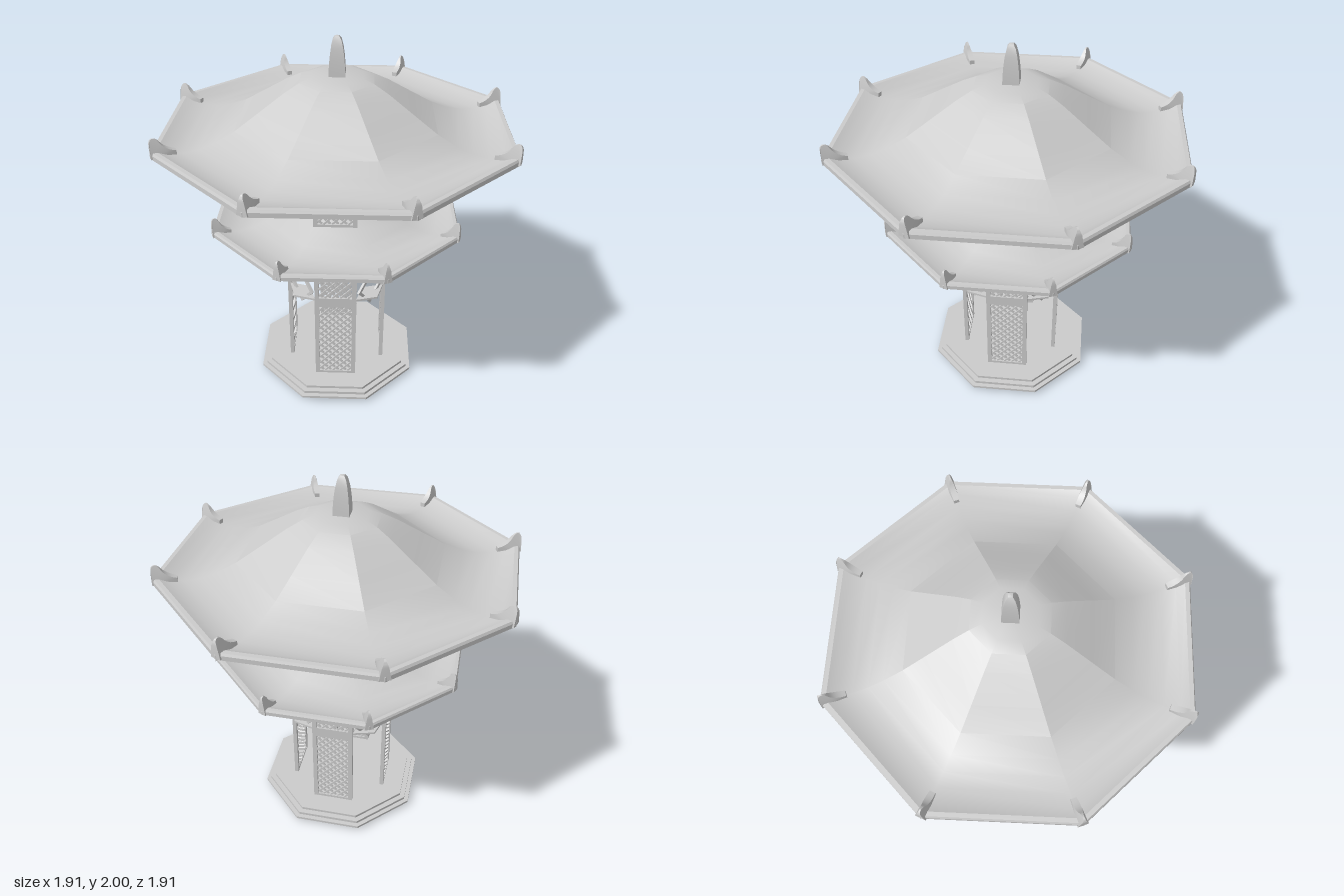
import * as THREE from 'three';
import { mergeGeometries, toCreasedNormals } from 'three/addons/utils/BufferGeometryUtils.js';

const material = new THREE.MeshStandardMaterial({ color: 0xcccccc });
const SIDE = 0.23;                                   // width of one side of the octagonal tower
const APOTHEM = 0.277;

function add(parent, name, geometry) {
  const mesh = new THREE.Mesh(geometry, material);
  mesh.name = name;
  parent.add(mesh);
  return mesh;
}

// Turned solid with few sides; the profile runs from the bottom up
function turned(profile, sides, crease = 0.35, start = 0) {
  const points = profile.map(([r, y]) => new THREE.Vector2(r, y));
  return toCreasedNormals(new THREE.LatheGeometry(points, sides, start), crease);
}

function bar(w, h, d, x, y, z = 0, angle = 0) {
  return new THREE.BoxGeometry(w, h, d).rotateZ(angle).translate(x, y, z);
}

// Crossing diagonal slats clipped to a rectangle
function lattice(halfW, y0, y1) {
  const bars = [];
  const pitch = 0.043;
  for (const s of [1, -1]) {
    for (let c = y0 - halfW + pitch / 2; c < y1 + halfW; c += pitch) {
      // slat follows y = c + s * x
      const a = s > 0 ? y0 - c : c - y1;
      const b = s > 0 ? y1 - c : c - y0;
      const xa = Math.max(-halfW, a), xb = Math.min(halfW, b);
      if (xb - xa < 0.008) continue;
      const mid = (xa + xb) / 2;
      bars.push(bar((xb - xa) * Math.SQRT2, 0.01, 0.008, mid, c + s * mid, s * 0.002, s * Math.PI / 4));
    }
  }
  return bars;
}

function screenGeometry() {
  const stile = 0.024, top = 1.63;
  const inner = SIDE / 2 - stile;
  const parts = [];
  for (const s of [-1, 1]) {
    parts.push(bar(stile, top - 0.06, 0.022, s * (SIDE - stile) / 2, (top + 0.06) / 2));
  }
  const rails = [[0.06, 0.08], [0.55, 0.61], [1.02, 1.09], [1.6, top]];
  rails.forEach(([a, b], i) => {
    parts.push(bar(inner * 2, b - a, 0.02, 0, (a + b) / 2));
    if (rails[i + 1]) parts.push(...lattice(inner, b, rails[i + 1][0]));
  });
  return mergeGeometries(parts);
}

function diamondPath(Type, w, h) {
  const p = new Type();
  p.moveTo(w, 0);
  p.lineTo(0, h);
  p.lineTo(-w, 0);
  p.lineTo(0, -h);
  p.closePath();
  return p;
}

function diamond(w, h, depth, rim) {
  const shape = diamondPath(THREE.Shape, w, h);
  if (rim) shape.holes.push(diamondPath(THREE.Path, w - rim, h - rim));
  return new THREE.ExtrudeGeometry(shape, { depth, bevelEnabled: false }).translate(0, 0, -depth / 2);
}

// Upturned eave tip: swept side profile, pinched towards its top and inner end
function hornGeometry(length, height, width) {
  const s = new THREE.Shape();
  s.moveTo(0, -0.03);
  s.lineTo(0, height * 0.5);
  s.quadraticCurveTo(-length * 0.02, height, -length * 0.16, height);
  s.quadraticCurveTo(-length * 0.3, height, -length * 0.42, height * 0.6);
  s.quadraticCurveTo(-length * 0.6, height * 0.12, -length, -0.005);
  s.lineTo(-length, -0.03);
  s.closePath();
  const g = new THREE.ExtrudeGeometry(s, { depth: width, bevelEnabled: false, curveSegments: 6 });
  g.translate(0, 0, -width / 2);
  const p = g.attributes.position;
  for (let i = 0; i < p.count; i++) {
    const up = Math.max(0, p.getY(i)) / height;
    const inward = -p.getX(i) / length;
    p.setZ(i, p.getZ(i) * (1 - 0.85 * up) * (1 - 0.5 * inward));
  }
  g.computeVertexNormals();
  return toCreasedNormals(g, 0.7).rotateY(-Math.PI / 2); // outer end towards +z
}

function addRoof(parent, name, profile, radius, rimY, horn) {
  const roof = new THREE.Group();
  roof.name = name;
  add(roof, name + 'Shell', turned(profile, 8));
  const geometry = hornGeometry(...horn);
  for (let i = 0; i < 8; i++) {
    const holder = new THREE.Group();
    holder.name = 'eaveHorn';
    holder.rotation.y = i * Math.PI / 4;
    add(holder, 'horn', geometry).position.set(0, rimY, radius - 0.002);
    roof.add(holder);
  }
  parent.add(roof);
}

export function createModel() {
  const model = new THREE.Group();
  model.name = 'pavilion';
  const tower = new THREE.Group();
  tower.name = 'tower';
  tower.rotation.y = THREE.MathUtils.degToRad(-1.2);
  model.add(tower);

  // Stepped octagonal base
  add(tower, 'base', turned([
    [0, 0.02], [0.475, 0.02], [0.475, 0.034], [0.45, 0.034], [0.45, 0.05],
    [0.42, 0.05], [0.42, 0.065], [0, 0.065],
  ], 8));

  // Four lattice screens alternate with four open sides
  const screen = screenGeometry();
  const frame = diamond(0.092, 0.105, 0.014, 0.022);
  const plate = diamond(0.105, 0.06, 0.012, 0).rotateX(-Math.PI / 2);
  const pin = new THREE.CylinderGeometry(0.006, 0.006, 0.03, 8);
  for (let i = 0; i < 4; i++) {
    const side = new THREE.Group();
    side.name = 'screenSide';
    side.rotation.y = Math.PI / 8 + i * Math.PI / 2;
    add(side, 'latticeScreen', screen).position.z = APOTHEM - 0.011;
    add(side, 'footPin', pin).position.set(0, 0.015, 0.25);
    tower.add(side);

    const opening = new THREE.Group();
    opening.name = 'openSide';
    opening.rotation.y = -Math.PI / 8 + i * Math.PI / 2;
    for (const y of [0.63, 1.225]) {
      add(opening, 'diamondFrame', frame).position.set(0, y, APOTHEM - 0.011);
    }
    add(opening, 'diamondShelf', plate).position.set(0, 0.59, APOTHEM - 0.011);
    tower.add(opening);
  }

  // Hollow roofs: ceiling, sloping soffit, rounded rim, dished upper surface
  addRoof(tower, 'lowerRoof', [
    [0, 1.07], [0.27, 1.07], [0.4, 0.995], [0.5, 0.96], [0.59, 0.945], [0.7, 1.0],
    [0.7, 1.02], [0.694, 1.03], [0.675, 1.03], [0.64, 1.015], [0.56, 1.0], [0.48, 1.006],
    [0.41, 1.03], [0.3, 1.075], [0.21, 1.11], [0, 1.11],
  ], 0.7, 1.03, [0.1, 0.075, 0.045]);
  addRoof(tower, 'upperRoof', [
    [0, 1.74], [0.12, 1.74], [0.3, 1.63], [0.5, 1.52], [0.65, 1.465], [0.8, 1.45], [0.955, 1.5],
    [0.955, 1.523], [0.948, 1.535], [0.925, 1.535], [0.88, 1.515], [0.8, 1.502], [0.72, 1.507],
    [0.64, 1.53], [0.54, 1.575], [0.42, 1.65], [0.28, 1.738], [0.2, 1.78], [0.14, 1.8], [0, 1.8],
  ], 0.955, 1.535, [0.125, 0.068, 0.055]);

  // Square bullet finial
  add(tower, 'finial', turned([
    [0.06, 1.78], [0.058, 1.83], [0.052, 1.89], [0.043, 1.94], [0.03, 1.98], [0.015, 1.996], [0, 2],
  ], 4, 0.6, -Math.PI / 8));

  return model;
}
